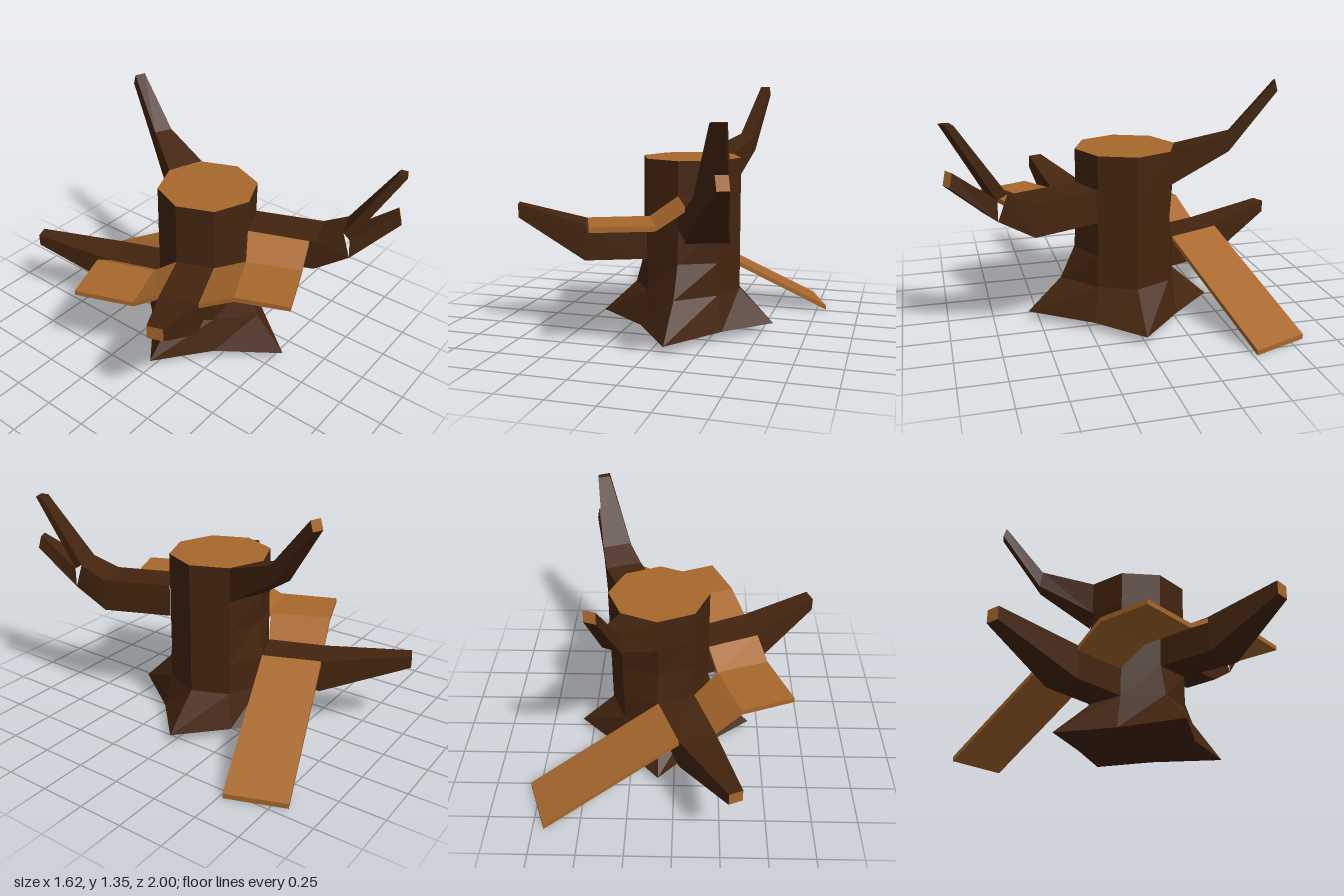
import * as THREE from 'three';

const bark = new THREE.MeshStandardMaterial({ color: 0x44250f, flatShading: true });
const wood = new THREE.MeshStandardMaterial({ color: 0xa8682c, flatShading: true });

// Geometry from a flat list of triangle corner points
function fromPoints(points) {
  const geo = new THREE.BufferGeometry();
  geo.setAttribute('position', new THREE.Float32BufferAttribute(points.flat(), 3));
  geo.computeVertexNormals();
  return geo;
}

// Skin between rings, each counter-clockwise when seen from the far end
function skin(rings) {
  const pts = [];
  for (let i = 0; i < rings.length - 1; i++) {
    const a = rings[i], b = rings[i + 1], n = a.length;
    for (let j = 0; j < n; j++) {
      const k = (j + 1) % n;
      pts.push(a[j], a[k], b[k], a[j], b[k], b[j]);
    }
  }
  return fromPoints(pts);
}

// Flat cap fanned around the ring's middle
function cap(ring, flip = false) {
  const mid = [0, 1, 2].map(c => ring.reduce((s, p) => s + p[c], 0) / ring.length);
  const pts = [];
  ring.forEach((p, j) => {
    const q = ring[(j + 1) % ring.length];
    pts.push(mid, ...(flip ? [q, p] : [p, q]));
  });
  return fromPoints(pts);
}

// Four-cornered section: left and right side in plan, bottom and top height,
// with the bottom corners optionally shifted outward
function section(lx, lz, rx, rz, y0, y1, dx = 0, dz = 0) {
  return [[lx + dx, y0, lz + dz], [rx + dx, y0, rz + dz], [rx, y1, rz], [lx, y1, lz]];
}

function solid(name, rings, sideMat, endMat, closeStart = false) {
  const g = new THREE.Group();
  g.name = name;
  g.add(new THREE.Mesh(skin(rings), sideMat));
  g.add(new THREE.Mesh(cap(rings[rings.length - 1]), endMat));
  if (closeStart) g.add(new THREE.Mesh(cap(rings[0], true), sideMat));
  g.children.forEach((m, i) => { m.name = name + ['Sides', 'End', 'Base'][i]; });
  return g;
}

// Plank strip from [outerX, outerZ, innerX, innerZ, topY] stations
function planks(name, stations) {
  const rings = stations.map(([ox, oz, ix, iz, y]) => section(ox, oz, ix, iz, y - 0.027, y));
  return solid(name, rings, wood, wood, true);
}

export function createModel() {
  const model = new THREE.Group();
  model.name = 'treeStumpWithWalkways';

  // Octagonal trunk flaring into four pointed roots: y, diagonal radius, radii to +x, -z, -x, +z
  const trunkRings = [
    [0.05, 0.33, [0.475, 0.49, 0.53, 0.56]],
    [0.24, 0.28, [0.28, 0.28, 0.33, 0.37]],
    [0.42, 0.28, [0.28, 0.28, 0.28, 0.29]],
    [0.61, 0.28, [0.28, 0.25, 0.28, 0.28]],
    [0.79, 0.28, [0.28, 0.28, 0.28, 0.28]],
    [0.975, 0.28, [0.28, 0.28, 0.28, 0.28]],
  ].map(([y, diag, axis]) => Array.from({ length: 8 }, (_, k) => {
    const r = k % 2 ? diag : axis[k / 2], a = k * Math.PI / 4;
    return [0.09 + r * Math.cos(a), y, -r * Math.sin(a)];
  }));
  model.add(solid('trunk', trunkRings, bark, wood, true));

  // Single branches
  model.add(solid('rightBranch', [
    section(-0.19, 0, -0.11, 0.2, 0.42, 0.61),
    section(-0.47, 0.12, -0.41, 0.33, 0.42, 0.615, -0.015, 0.005),
    section(-0.81, 0.33, -0.78, 0.41, 0.655, 0.73),
  ], bark, wood));
  model.add(solid('lowBackBranch', [
    section(0.09, -0.28, -0.11, -0.2, 0.24, 0.42),
    section(-0.03, -0.585, -0.22, -0.5, 0.24, 0.42),
    section(-0.28, -1, -0.35, -0.97, 0.4, 0.47),
  ], bark, wood));
  model.add(solid('highBackBranch', [
    section(0.29, -0.2, 0.09, -0.28, 0.79, 0.975),
    section(0.355, -0.485, 0.26, -0.53, 0.975, 1.07, 0, -0.015),
    section(0.4, -0.725, 0.34, -0.745, 1.295, 1.35, 0, -0.015),
  ], bark, wood));

  // Front branch, splitting into an upper and a lower prong
  const fork = section(0.3, 0.75, 0.465, 0.69, 0.72, 0.86, 0, 0.05);
  const crotch = [[0.3, 0.83, 0.79], [0.465, 0.83, 0.74]];
  const front = new THREE.Group();
  front.name = 'frontBranch';
  const limb = new THREE.Mesh(skin([
    section(0.09, 0.28, 0.29, 0.2, 0.61, 0.79),
    section(0.23, 0.63, 0.435, 0.555, 0.61, 0.79),
    fork,
  ]), bark);
  limb.name = 'frontLimb';
  front.add(limb);
  front.add(solid('lowerProng', [
    [fork[0], fork[1], crotch[1], crotch[0]],
    section(0.455, 0.98, 0.51, 0.95, 0.925, 0.995, 0.012, 0.015),
  ], bark, wood));
  front.add(solid('upperProng', [
    [crotch[0], crotch[1], fork[2], fork[3]],
    [[0.435, 1.22, 1.0], [0.505, 1.22, 0.97], [0.5, 1.22, 0.93], [0.43, 1.22, 0.95]],
  ], bark, bark));
  model.add(front);

  // Walkways around corners between neighbouring branches, and the ramp to the ground
  model.add(planks('frontWalkway', [
    [-0.41, 0.33, -0.11, 0.2, 0.612],
    [-0.335, 0.5, -0.04, 0.365, 0.692],
    [-0.22, 0.77, -0.04, 0.365, 0.692],
    [0.08, 0.645, -0.04, 0.365, 0.692],
    [0.22, 0.595, 0.09, 0.28, 0.79],
  ]));
  model.add(planks('backWalkway', [
    [-0.22, -0.5, -0.11, -0.2, 0.42],
    [-0.365, -0.45, -0.24, -0.125, 0.525],
    [-0.655, -0.34, -0.24, -0.125, 0.525],
    [-0.53, -0.02, -0.24, -0.125, 0.525],
    [-0.475, 0.125, -0.19, 0, 0.612],
  ]));
  model.add(planks('ramp', [
    [0.69, -0.83, 0.805, -0.52, 0.028],
    [-0.03, -0.585, 0.09, -0.28, 0.422],
  ]));

  return model;
}
